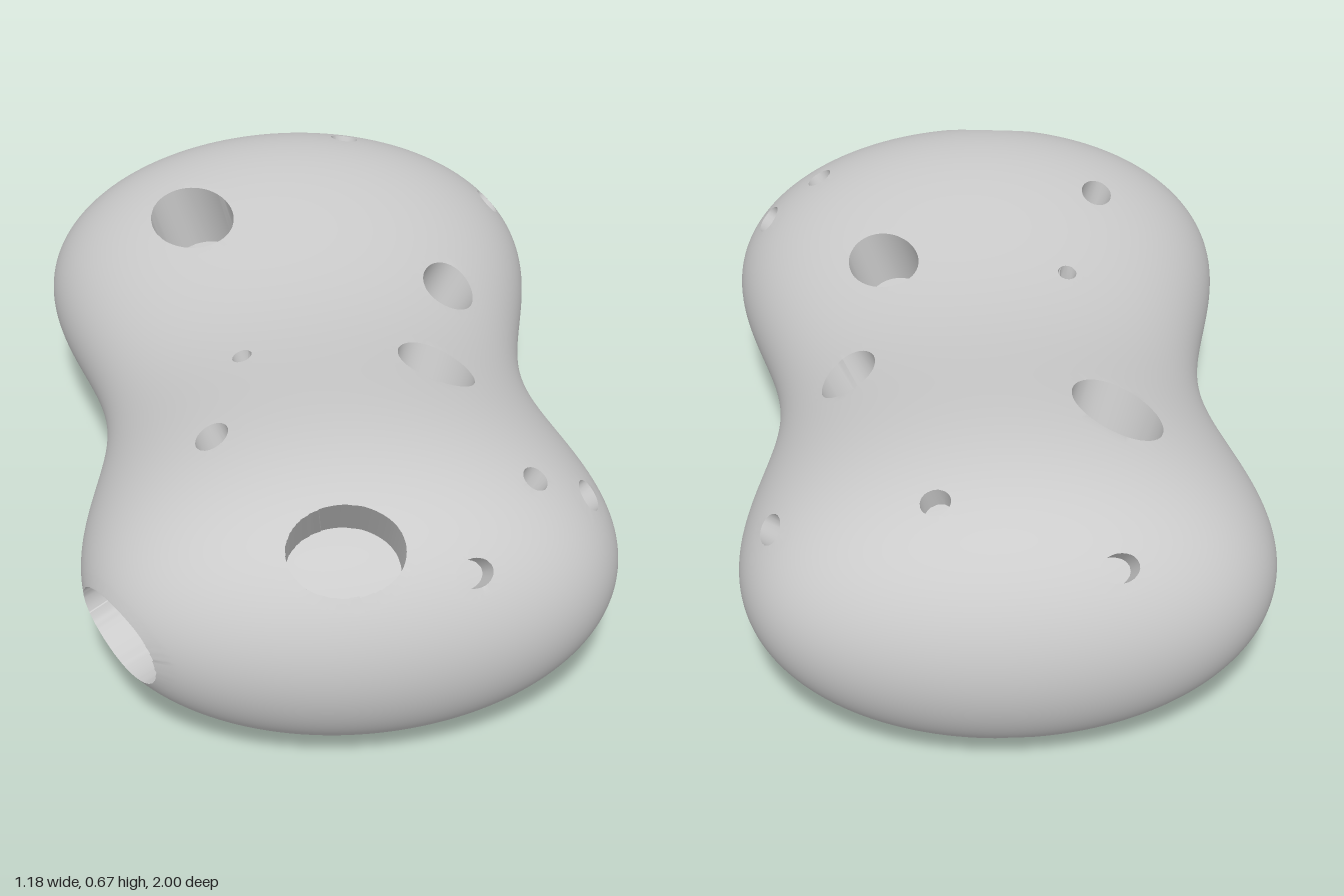
import * as THREE from 'three';
import { toCreasedNormals } from 'three/addons/utils/BufferGeometryUtils.js';

const FLAT = 0.57;      // height of the cross-section relative to its width
const MID = 0.335;      // height of the long axis
const RINGS = 230, SIDES = 270;
const STEP = 0.018;     // largest mesh spacing, used to gather vertices on a rim

// squared half-width of the two-lobed body along its length
const widthSq = z => (1 - z * z) * (0.245 + 0.85 * z * z - 0.08 * z ** 4);

// drop a point back onto the smooth body
function toSurface(p) {
  p.z = THREE.MathUtils.clamp(p.z, -0.99999, 0.99999);
  const s = Math.sqrt(widthSq(p.z)) / Math.max(1e-6, Math.hypot(p.x, p.y / FLAT));
  p.x *= s;
  p.y *= s;
  return p;
}

// pits: x, z, side (1 upper, -1 lower), horizontal radius, radius up the slope
const PITS = [
  // upper side
  [-0.05, 0.88, 1, 0.125, 0.102],
  [-0.25, -0.43, 1, 0.13, 0.092],
  [0.335, -0.155, 1, 0.09, 0.067],
  [0.24, 0.245, 1, 0.107, 0.078],
  [-0.19, 0.16, 1, 0.027, 0.022],
  [-0.29, 0.49, 1, 0.052, 0.037],
  [0.385, 0.675, 1, 0.036, 0.03],
  [0.515, 0.63, 1, 0.047, 0.032],
  [0.215, 0.91, 1, 0.043, 0.032],
  [-0.21, -0.89, 1, 0.045, 0.032],
  [0.165, -0.755, 1, 0.033, 0.034],
  [0.515, -0.64, 1, 0.045, 0.032],
  // flanks
  [-0.543, 0.76, -1, 0.145, 0.102],
  [0.578, 0.58, -1, 0.063, 0.045],
  [-0.5, 0.48, -1, 0.07, 0.055],
  // underside
  [0.28, 0.65, -1, 0.04, 0.038],
  [0.31, -0.345, -1, 0.043, 0.036],
  [0.505, -0.63, -1, 0.035, 0.03],
  [0.03, 0.57, -1, 0.115, 0.12],
  [-0.45, -0.74, -1, 0.035, 0.03],
  [0.01, -0.89, -1, 0.04, 0.034],
  [-0.2, -0.45, -1, 0.042, 0.035],
  [0.05, 0.04, -1, 0.07, 0.065],
];

// local frame of a pit: centre, outward normal and two tangents
function pitFrame([x, z, side, ru, rv]) {
  const y = side * FLAT * Math.sqrt(Math.max(0, widthSq(z) - x * x));
  const centre = toSurface(new THREE.Vector3(x, y, z));
  const slope = (widthSq(z + 1e-4) - widthSq(z - 1e-4)) / 2e-4;
  const n = new THREE.Vector3(2 * centre.x, 2 * centre.y / FLAT ** 2, -slope).normalize();
  const u = new THREE.Vector3(0, 1, 0).cross(n).normalize();
  const v = n.clone().cross(u);
  return { centre, n, u, v, ru, rv, depth: 0.8 * (ru + rv), band: STEP / Math.min(ru, rv) };
}

// gather nearby vertices on the rim and sink the ones inside it
function carve(p, pit) {
  const d = p.clone().sub(pit.centre);
  if (d.dot(pit.n) < -0.25) return false;
  const a = d.dot(pit.u), b = d.dot(pit.v);
  const e = Math.hypot(a / pit.ru, b / pit.rv);
  if (e > 1 + pit.band) return false;
  const inside = e < 1;
  const target = inside ? Math.min(1, e / (1 - Math.min(0.5, pit.band))) : 1;
  const k = e > 1e-6 ? target / e - 1 : 0;
  p.addScaledVector(pit.u, a * k).addScaledVector(pit.v, b * k);
  toSurface(p);
  if (inside) p.addScaledVector(pit.n, -pit.depth);
  return true;
}

function bodyGeometry() {
  const profile = [];
  for (let i = 0; i <= RINGS; i++) {
    const z = -Math.cos(Math.PI * i / RINGS);
    profile.push(new THREE.Vector2(Math.sqrt(Math.max(0, widthSq(z))), z));
  }
  const geo = new THREE.LatheGeometry(profile, SIDES);
  geo.rotateX(Math.PI / 2);
  geo.scale(1, FLAT, 1);

  const pits = PITS.map(pitFrame);
  const pos = geo.attributes.position;
  const p = new THREE.Vector3();
  for (let i = 0; i < pos.count; i++) {
    p.fromBufferAttribute(pos, i);
    if (pits.some(pit => carve(p, pit))) pos.setXYZ(i, p.x, p.y, p.z);
  }

  // smooth the skin but keep rims sharp (enlarged so close vertices stay distinct)
  geo.scale(100, 100, 100);
  const creased = toCreasedNormals(geo, 0.6);
  creased.scale(0.01, 0.01, 0.01);
  creased.translate(0, MID, 0);
  return creased;
}

export function createModel() {
  const group = new THREE.Group();
  group.name = 'pittedRock';
  const body = new THREE.Mesh(
    bodyGeometry(),
    new THREE.MeshStandardMaterial({ color: 0xcccccc })
  );
  body.name = 'pittedBody';
  group.add(body);
  return group;
}
